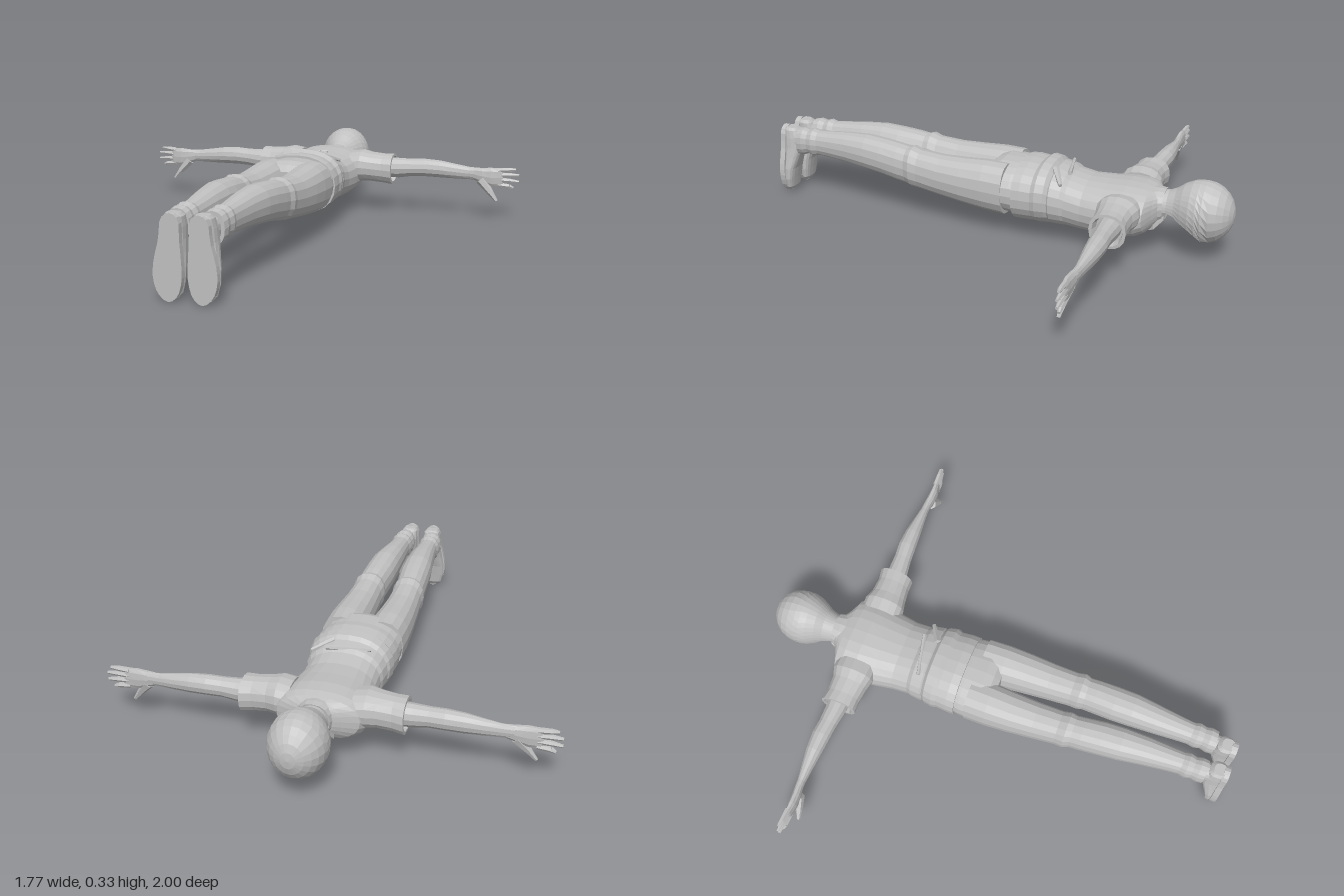
import * as THREE from 'three';

const grey = new THREE.MeshStandardMaterial({ color: 0xc0c0c0, flatShading: true });
grey.name = 'plainGrey';

// Loft of rounded sections. Row: [t, a0, a1, b0, b1, openHalfAngle]; axes cycle
// (a,b,t) = (x,y,z) for 'z', (y,z,x) for 'x', (z,x,y) for 'y'.
function loft(axis, rows, { seg = 16, power = 0.88, caps = true } = {}) {
  const place = {
    z: (t, a, b) => [a, b, t],
    x: (t, a, b) => [t, a, b],
    y: (t, a, b) => [b, t, a],
  }[axis];
  const curve = (v) => Math.sign(v) * Math.abs(v) ** power;
  const pos = [], index = [], n = seg + 1;
  for (const [t, a0, a1, b0, b1, open = 0] of rows) {
    for (let j = 0; j <= seg; j++) {
      const th = -Math.PI / 2 + open + (j / seg) * 2 * (Math.PI - open);
      pos.push(...place(t, (a0 + a1) / 2 + curve(Math.cos(th)) * (a1 - a0) / 2,
        (b0 + b1) / 2 + curve(Math.sin(th)) * (b1 - b0) / 2));
    }
  }
  for (let i = 0; i < rows.length - 1; i++) {
    for (let j = 0; j < seg; j++) {
      const p = i * n + j, q = p + n;
      index.push(p, p + 1, q + 1, p, q + 1, q);
    }
  }
  if (caps) {
    const last = rows.length - 1;
    for (const i of [0, last]) {
      const [t, a0, a1, b0, b1] = rows[i];
      const c = pos.length / 3;
      pos.push(...place(t, (a0 + a1) / 2, (b0 + b1) / 2));
      for (let j = 0; j < seg; j++) {
        const p = i * n + j;
        if (i === 0) index.push(c, p + 1, p); else index.push(c, p, p + 1);
      }
    }
  }
  const g = new THREE.BufferGeometry();
  g.setAttribute('position', new THREE.Float32BufferAttribute(pos, 3));
  g.setIndex(index);
  g.computeVertexNormals();
  return g;
}

// Tapered rod between two points
function rod(p, q, r0, r1, sides = 6) {
  const a = new THREE.Vector3(...p), b = new THREE.Vector3(...q);
  const d = b.clone().sub(a);
  const g = new THREE.CylinderGeometry(r1, r0, d.length(), sides, 1);
  g.applyQuaternion(new THREE.Quaternion().setFromUnitVectors(new THREE.Vector3(0, 1, 0), d.normalize()));
  const m = a.add(b).multiplyScalar(0.5);
  return g.translate(m.x, m.y, m.z);
}

// Mirror in x with the corner order reversed
function mirrored(geo) {
  const g = geo.index ? geo.toNonIndexed() : geo.clone();
  g.scale(-1, 1, 1);
  const p = g.attributes.position;
  for (let i = 0; i < p.count; i += 3) {
    const b = [p.getX(i + 1), p.getY(i + 1), p.getZ(i + 1)];
    p.setXYZ(i + 1, p.getX(i + 2), p.getY(i + 2), p.getZ(i + 2));
    p.setXYZ(i + 2, ...b);
  }
  g.computeVertexNormals();
  return g;
}

export function createModel() {
  const model = new THREE.Group();
  model.name = 'lyingFigure';
  const add = (name, geo) => {
    const m = new THREE.Mesh(geo, grey);
    m.name = name;
    model.add(m);
  };
  const pair = (name, geo) => {
    add('left' + name, geo);
    add('right' + name, mirrored(geo));
  };
  // Centred section: z, half width, bottom, top
  const mid = ([z, w, y0, y1, open]) => [z, -w, w, y0, y1, open];

  // Head: open shell without a face, running into the nape
  const skull = [];
  for (let i = 0; i <= 6; i++) {
    const a = (i / 6) * Math.PI * 0.5;
    const r = Math.max(Math.sin(a), 0.001);
    skull.push(mid([-0.885 - 0.115 * Math.cos(a), 0.11 * r, 0.203 - 0.125 * r, 0.203 + 0.124 * r,
      i === 6 ? 0.45 : 0]));
  }
  add('head', loft('z', [
    ...skull,
    ...[[-0.862, 0.11, 0.08, 0.326, 0.95], [-0.834, 0.103, 0.085, 0.321, 1.15],
      [-0.8, 0.086, 0.1, 0.305, 1.25], [-0.77, 0.069, 0.115, 0.282, 1.45],
      [-0.74, 0.06, 0.13, 0.267, 1.5], [-0.69, 0.06, 0.13, 0.265, 1.4]].map(mid),
  ], { seg: 20, power: 1, caps: false }));

  // Collar and its two front flaps
  add('collar', loft('z', [[-0.725, 0.055, 0.15, 0.262], [-0.727, 0.064, 0.14, 0.27],
    [-0.7, 0.072, 0.128, 0.272], [-0.675, 0.085, 0.11, 0.27]].map(mid)));
  pair('CollarFlap', loft('z', [[-0.735, 0.035, 0.06, 0.155, 0.175],
    [-0.7, 0.012, 0.075, 0.112, 0.15], [-0.655, 0.02, 0.05, 0.092, 0.115]], { seg: 6 }));

  // Shirt body
  add('shirt', loft('z', [[-0.712, 0.066, 0.135, 0.262], [-0.695, 0.1, 0.12, 0.265],
    [-0.672, 0.16, 0.1, 0.272], [-0.64, 0.178, 0.082, 0.28], [-0.58, 0.178, 0.07, 0.283],
    [-0.5, 0.166, 0.061, 0.277], [-0.42, 0.152, 0.061, 0.275], [-0.35, 0.15, 0.066, 0.288],
    [-0.3, 0.156, 0.068, 0.3], [-0.26, 0.16, 0.068, 0.31]].map(mid), { seg: 24 }));

  // Gathered folds and hem at the waist
  add('waistFold', loft('z', [[-0.355, 0.148, 0.07, 0.286], [-0.335, 0.157, 0.066, 0.3],
    [-0.29, 0.163, 0.066, 0.31], [-0.28, 0.155, 0.072, 0.3]].map(mid), { seg: 24 }));
  add('shirtHem', loft('z', [[-0.29, 0.152, 0.07, 0.3], [-0.27, 0.167, 0.066, 0.322],
    [-0.235, 0.174, 0.064, 0.327], [-0.215, 0.168, 0.066, 0.314], [-0.17, 0.172, 0.064, 0.319],
    [-0.135, 0.172, 0.064, 0.316], [-0.135, 0.155, 0.08, 0.3]].map(mid), { seg: 24 }));
  add('clothCrease', rod([0.055, 0.303, -0.285], [0.135, 0.27, -0.335], 0.016, 0.008));
  add('backCrease', rod([-0.1, 0.292, -0.31], [0.07, 0.3, -0.35], 0.008, 0.009));

  // Sleeves with a hollow cuff
  pair('Sleeve', loft('x', [[0.12, 0.13, 0.27, -0.67, -0.495], [0.17, 0.135, 0.279, -0.668, -0.495],
    [0.21, 0.137, 0.27, -0.655, -0.505], [0.27, 0.132, 0.265, -0.652, -0.514],
    [0.315, 0.126, 0.266, -0.66, -0.514], [0.316, 0.138, 0.255, -0.648, -0.527],
    [0.285, 0.145, 0.25, -0.64, -0.535]]));

  // Bare arms
  pair('Arm', loft('x', [[0.27, 0.155, 0.25, -0.637, -0.542], [0.34, 0.157, 0.248, -0.632, -0.548],
    [0.4, 0.167, 0.247, -0.631, -0.556], [0.46, 0.169, 0.25, -0.636, -0.56],
    [0.53, 0.168, 0.246, -0.632, -0.566], [0.6, 0.168, 0.235, -0.622, -0.574],
    [0.66, 0.169, 0.226, -0.613, -0.58], [0.71, 0.17, 0.224, -0.61, -0.579]], { seg: 12, power: 1 }));

  // Hands: upright palms, spread fingers and a thumb pointing down
  pair('Palm', loft('x', [[0.68, 0.17, 0.224, -0.611, -0.58], [0.72, 0.155, 0.226, -0.609, -0.575],
    [0.76, 0.142, 0.23, -0.607, -0.575], [0.8, 0.143, 0.229, -0.606, -0.582],
    [0.812, 0.15, 0.222, -0.603, -0.588]], { seg: 10 }));
  const fingers = [[0.218, 0.225, 0.866], [0.197, 0.2, 0.882], [0.175, 0.171, 0.882], [0.153, 0.142, 0.858]];
  fingers.forEach(([y0, y1, tip], i) => {
    const bend = [0.84, (y0 + y1) / 2 + 0.001, -0.597];
    pair('FingerBase' + (i + 1), rod([0.79, y0, -0.595], bend, 0.012, 0.0105));
    pair('FingerTip' + (i + 1), rod(bend, [tip, y1, -0.6], 0.0105, 0.006));
  });
  pair('ThumbBase', rod([0.715, 0.172, -0.588], [0.762, 0.118, -0.578], 0.023, 0.014));
  pair('ThumbTip', rod([0.76, 0.12, -0.578], [0.79, 0.082, -0.574], 0.014, 0.007));

  // Trousers: seat and two legs
  add('trouserSeat', loft('z', [[-0.19, 0.155, 0.08, 0.302], [-0.12, 0.168, 0.085, 0.307],
    [-0.05, 0.174, 0.094, 0.308], [-0.015, 0.168, 0.108, 0.296], [0.01, 0.13, 0.14, 0.27]].map(mid),
  { seg: 24 }));
  pair('TrouserLeg', loft('z', [[-0.09, 0.004, 0.173, 0.092, 0.305], [0, 0.005, 0.175, 0.1, 0.307],
    [0.1, 0.012, 0.171, 0.113, 0.301], [0.2, 0.018, 0.163, 0.126, 0.298], [0.3, 0.022, 0.156, 0.14, 0.305],
    [0.335, 0.018, 0.16, 0.144, 0.317], [0.36, 0.023, 0.15, 0.152, 0.311], [0.4, 0.02, 0.15, 0.157, 0.317],
    [0.48, 0.013, 0.147, 0.172, 0.325], [0.56, 0.012, 0.142, 0.182, 0.33], [0.66, 0.015, 0.128, 0.192, 0.324],
    [0.76, 0.021, 0.115, 0.198, 0.313], [0.83, 0.024, 0.108, 0.2, 0.307]]));
  pair('TrouserCuff', loft('z', [[0.8, 0.024, 0.108, 0.2, 0.305], [0.835, 0.018, 0.116, 0.193, 0.315],
    [0.86, 0.024, 0.11, 0.199, 0.306], [0.885, 0.018, 0.114, 0.19, 0.313],
    [0.912, 0.02, 0.11, 0.188, 0.308], [0.912, 0.03, 0.1, 0.2, 0.297]]));
  pair('Ankle', loft('z', [[0.89, 0.026, 0.098, 0.2, 0.294], [0.96, 0.024, 0.094, 0.2, 0.296]]));

  // Shoes with flat soles turned to the end
  pair('Shoe', loft('y', [[0.012, 0.965, 0.985, 0.035, 0.09], [0.03, 0.952, 0.988, 0.021, 0.106],
    [0.07, 0.945, 0.988, 0.013, 0.116], [0.12, 0.935, 0.988, 0.012, 0.116],
    [0.17, 0.917, 0.988, 0.016, 0.107], [0.215, 0.9, 0.988, 0.018, 0.1],
    [0.26, 0.905, 0.988, 0.017, 0.096], [0.295, 0.92, 0.988, 0.019, 0.09],
    [0.306, 0.935, 0.985, 0.03, 0.08]], { power: 0.75 }));
  const outline = new THREE.Shape().setFromPoints(new THREE.CatmullRomCurve3([
    [0.053, 0.311], [0.084, 0.293], [0.095, 0.22], [0.115, 0.14], [0.118, 0.08], [0.1, 0.027],
    [0.063, 0.001], [0.03, 0.022], [0.012, 0.08], [0.012, 0.14], [0.018, 0.22], [0.023, 0.293],
  ].map(([x, y]) => new THREE.Vector3(x, y, 0)), true).getPoints(28).slice(0, -1));
  pair('Sole', new THREE.ExtrudeGeometry(outline, { depth: 0.024, bevelEnabled: false }).translate(0, 0, 0.976));

  return model;
}
